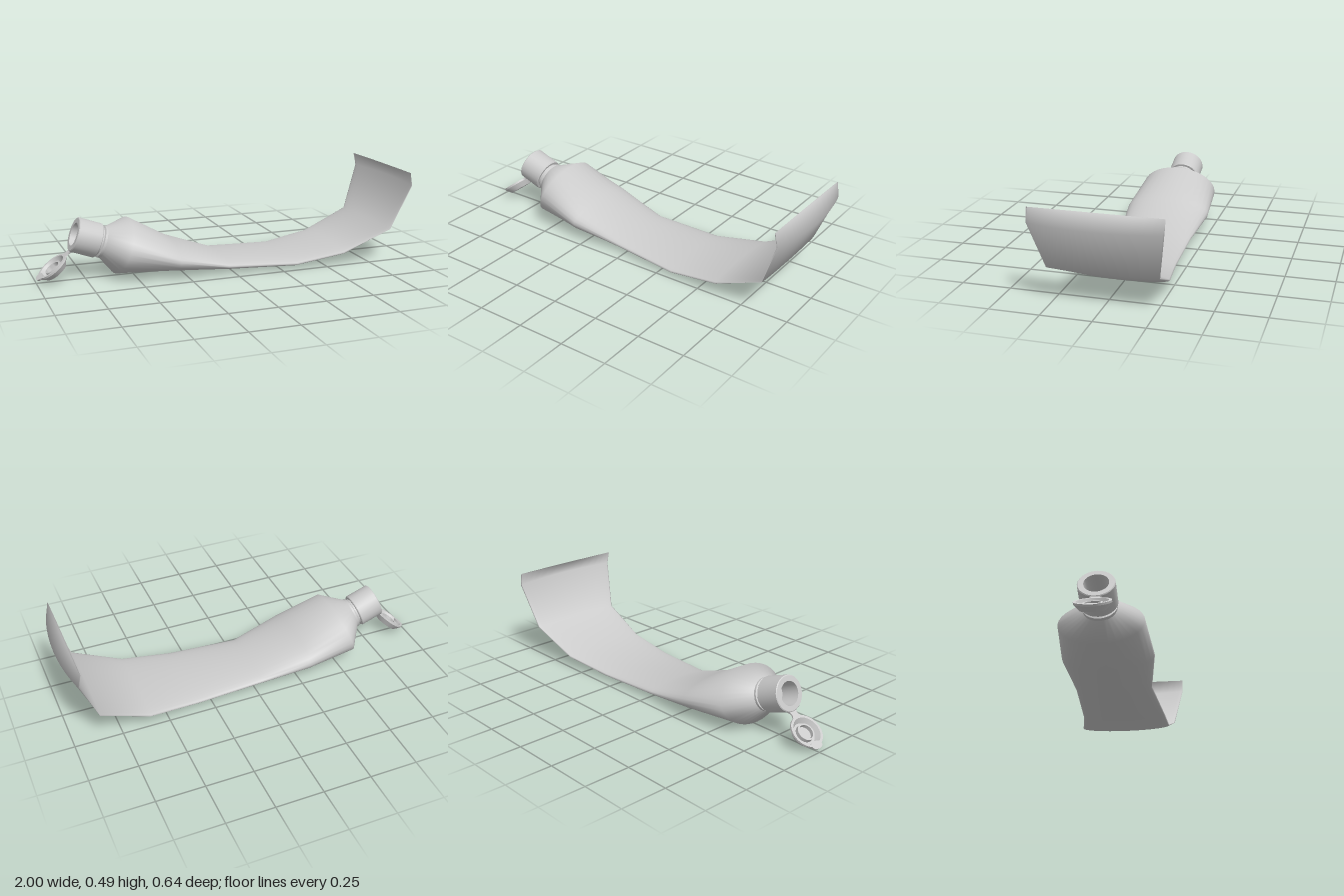
import * as THREE from 'three';
import { toCreasedNormals } from 'three/addons/utils/BufferGeometryUtils.js';

const material = new THREE.MeshStandardMaterial({ color: 0xcccccc, side: THREE.DoubleSide });

function addMesh(parent, name, geometry) {
  const mesh = new THREE.Mesh(geometry, material);
  mesh.name = name;
  parent.add(mesh);
  return mesh;
}

function lathe(points, sides = 24) {
  const profile = points.map(([r, y]) => new THREE.Vector2(r, y));
  return toCreasedNormals(new THREE.LatheGeometry(profile, sides), 0.6);
}

// Cross-sections of the squeezed tube, from neck to crimped tail:
// top x, top y, bottom x, bottom y, back z, front z, shift in x at the side edges
const SECTIONS = [
  [-0.63, 0.263, -0.685, 0.113, -0.08, 0.08, 0],
  [-0.51, 0.295, -0.61, 0.02, -0.217, 0.203, 0],
  [-0.3, 0.175, -0.31, 0.017, -0.235, 0.23, 0],
  [-0.03, 0.075, -0.04, 0.003, -0.2, 0.195, 0],
  [0.33, 0.057, 0.33, 0.0, -0.212, 0.237, 0],
  [0.6, 0.09, 0.6, 0.04, -0.253, 0.247, 0],
  [0.858, 0.183, 0.866, 0.172, -0.275, 0.267, 0],
  [0.98, 0.422, 0.997, 0.418, -0.318, 0.318, -0.035],
  [0.937, 0.488, 0.943, 0.49, -0.32, 0.32, 0],
];

function tubeBody(sides = 32) {
  const positions = [];
  const index = [];
  SECTIONS.forEach(([tx, ty, bx, by, z0, z1, bow], i) => {
    for (let j = 0; j < sides; j++) {
      const a = (j / sides) * Math.PI * 2;
      const c = Math.cos(a);
      const t = (1 + Math.sin(a)) / 2;
      positions.push(
        bx + (tx - bx) * t + bow * c * c,
        by + (ty - by) * t,
        (z0 + z1) / 2 + ((z1 - z0) / 2) * c
      );
      if (i < SECTIONS.length - 1) {
        const p = i * sides + j;
        const q = i * sides + ((j + 1) % sides);
        index.push(p, p + sides, q, q, p + sides, q + sides);
      }
    }
  });
  const geometry = new THREE.BufferGeometry();
  geometry.setAttribute('position', new THREE.Float32BufferAttribute(positions, 3));
  geometry.setIndex(index);
  geometry.computeVertexNormals();
  return geometry;
}

export function createModel() {
  const model = new THREE.Group();
  model.name = 'squeezedTube';
  addMesh(model, 'tubeBody', tubeBody());

  // Neck and cap, tilted along the tube mouth
  const mouth = new THREE.Group();
  mouth.name = 'mouth';
  mouth.position.set(-0.68, 0.193, 0);
  mouth.rotation.z = 1.22;
  model.add(mouth);
  addMesh(mouth, 'neck', lathe([
    [0.076, -0.035], [0.084, -0.03], [0.084, -0.014], [0.074, -0.01], [0.074, 0.01],
  ]));
  addMesh(mouth, 'cap', lathe([
    [0.07, 0], [0.087, 0], [0.09, 0.004], [0.09, 0.126], [0.086, 0.13],
    [0.06, 0.13], [0.055, 0.03], [0, 0.03],
  ]));

  // Open flip lid; local y points out of its hollow side, local x to the hinge
  const lid = new THREE.Group();
  lid.name = 'flipLid';
  lid.position.set(-0.92, 0.083, 0);
  lid.rotation.z = 0.656;
  model.add(lid);
  addMesh(lid, 'lidShell', lathe([
    [0, -0.04], [0.062, -0.04], [0.087, -0.01], [0.087, 0], [0.074, 0], [0.058, -0.028],
    [0.046, -0.028], [0.046, -0.008], [0.037, -0.008], [0.037, -0.028], [0, -0.028],
  ]));

  // Thumb tab on the far edge of the lid
  const tab = new THREE.CylinderGeometry(0.035, 0.032, 0.01, 16);
  tab.scale(0.6, 1, 1);
  addMesh(lid, 'thumbTab', tab).position.set(-0.08, -0.005, 0);

  // Waisted hinge strip between lid and cap
  const strip = new THREE.Shape();
  strip.moveTo(0.075, -0.035);
  strip.quadraticCurveTo(0.1, -0.005, 0.122, -0.03);
  strip.lineTo(0.122, 0.03);
  strip.quadraticCurveTo(0.1, 0.005, 0.075, 0.035);
  const hinge = new THREE.ExtrudeGeometry(strip, { depth: 0.008, bevelEnabled: false, curveSegments: 6 });
  hinge.rotateX(Math.PI / 2);
  addMesh(lid, 'hinge', hinge);

  return model;
}
